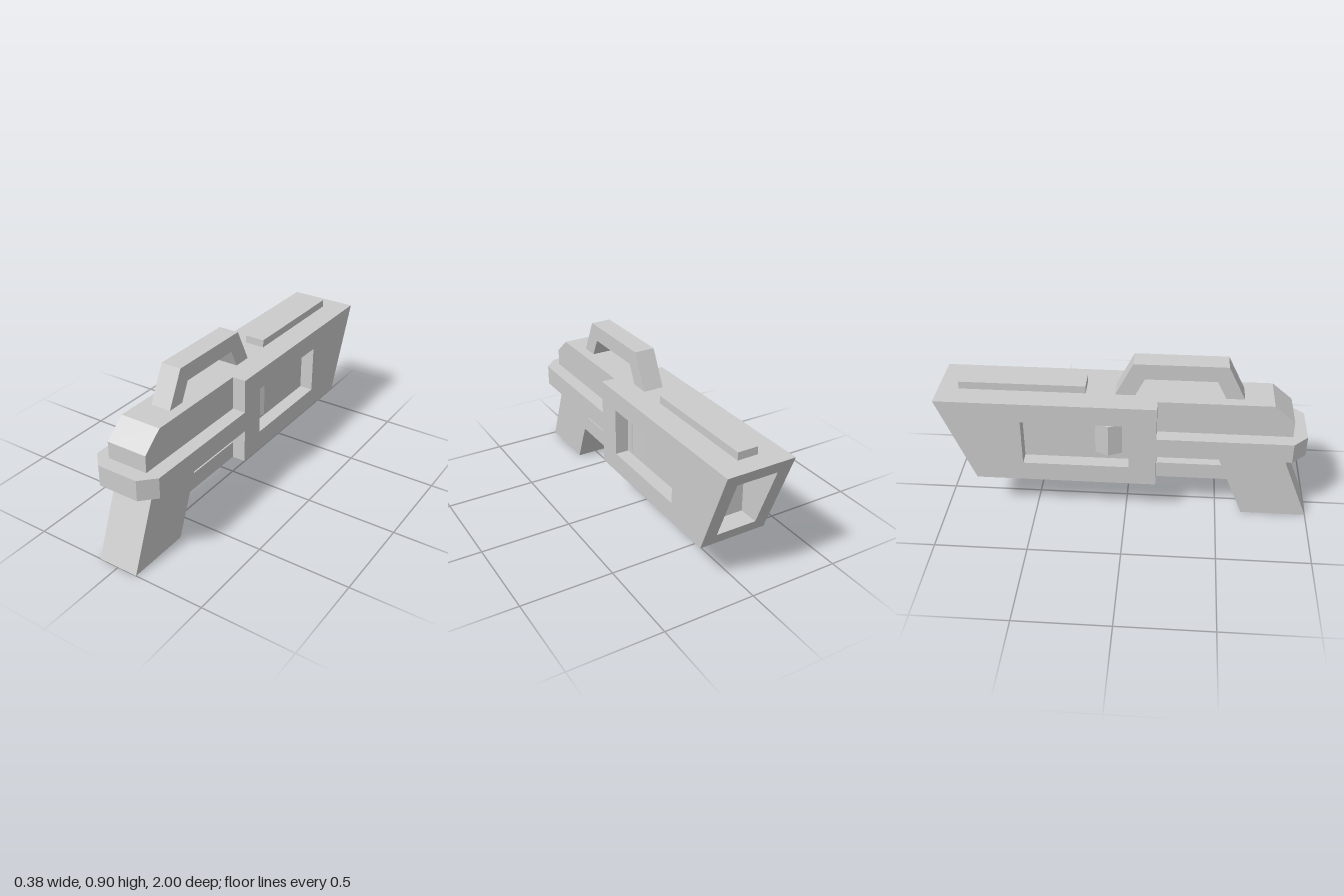
import * as THREE from 'three';

const material = new THREE.MeshStandardMaterial({ color: 0xcccccc, flatShading: true });

const outline = (points, Type = THREE.Shape) => new Type(points.map(([a, b]) => new THREE.Vector2(a, b)));

// Side profile of [z, y] points, extruded across x from x0 to x1
function sidePart(name, points, x0, x1, hole) {
  const shape = outline(points);
  if (hole) shape.holes.push(outline(hole, THREE.Path));
  const geometry = new THREE.ExtrudeGeometry(shape, { depth: x1 - x0, bevelEnabled: false });
  geometry.rotateY(-Math.PI / 2).translate(x1, 0, 0);
  const mesh = new THREE.Mesh(geometry, material);
  mesh.name = name;
  return mesh;
}

// Plan profile of [x, z] points, extruded from y0 up to y1
function planPart(name, points, y0, y1) {
  const geometry = new THREE.ExtrudeGeometry(outline(points), { depth: y1 - y0, bevelEnabled: false });
  geometry.rotateX(Math.PI / 2).translate(0, y1, 0);
  const mesh = new THREE.Mesh(geometry, material);
  mesh.name = name;
  return mesh;
}

export function createModel() {
  const group = new THREE.Group();
  group.name = 'blaster';
  const core = 0.113, wide = 0.188;
  const top = 0.715, bottom = 0.23, rear = 0.165;
  // z of the slanted muzzle face at height y
  const muzzleZ = (y) => -0.81 - 0.19 * (y - bottom) / (top - bottom);

  // Barrel core with a muzzle recess
  group.add(sidePart('barrelCore', [
    [rear, bottom], [rear, top], [muzzleZ(top), top], [muzzleZ(0.645), 0.645],
    [-0.725, 0.645], [-0.725, 0.297], [muzzleZ(0.297), 0.297], [muzzleZ(bottom), bottom],
  ], -core, core));

  // Side plates with windows, and a ridged catch inside each window
  const plate = [[rear, bottom], [rear, top], [muzzleZ(top), top], [muzzleZ(bottom), bottom]];
  const windowHole = [[0.02, 0.34], [-0.55, 0.34], [-0.55, 0.605], [0.02, 0.605]];
  for (const [side, s] of [['left', 1], ['right', -1]]) {
    group.add(sidePart(side + 'Plate', plate, s > 0 ? core : -wide, s > 0 ? wide : -core, windowHole));
    group.add(planPart(side + 'Catch',
      [[s * core, -0.02], [s * (core + 0.032), -0.093], [s * core, -0.165]], 0.38, 0.565));
  }

  // Rear housing with a sloped end
  group.add(sidePart('rearHousing',
    [[rear, 0.53], [rear, top], [0.77, top], [0.88, 0.622], [0.88, 0.53]], -core, core));

  // Wide band with chamfered corners
  group.add(planPart('band', [
    [-wide, rear], [wide, rear], [wide, 0.88], [core, 0.957], [-core, 0.957], [-wide, 0.88],
  ], 0.417, 0.53));

  // Grip and trigger guard in one piece, with an opening under the band
  group.add(sidePart('gripAndGuard', [
    [1, 0], [0.645, 0], [0.553, bottom], [rear, bottom], [rear, 0.323],
    [0.517, 0.323], [0.48, 0.417], [0.835, 0.417],
  ], -core, core));

  // Carrying handle
  group.add(sidePart('carryHandle', [
    [0.617, top], [0.525, 0.903], [0.035, 0.903], [-0.06, top],
    [0.045, top], [0.095, 0.815], [0.47, 0.815], [0.52, top],
  ], -0.056, 0.056));

  // Top rail
  group.add(sidePart('topRail',
    [[-0.215, top], [-0.215, 0.757], [-0.89, 0.757], [-0.89, top]], -0.056, 0.056));

  return group;
}
